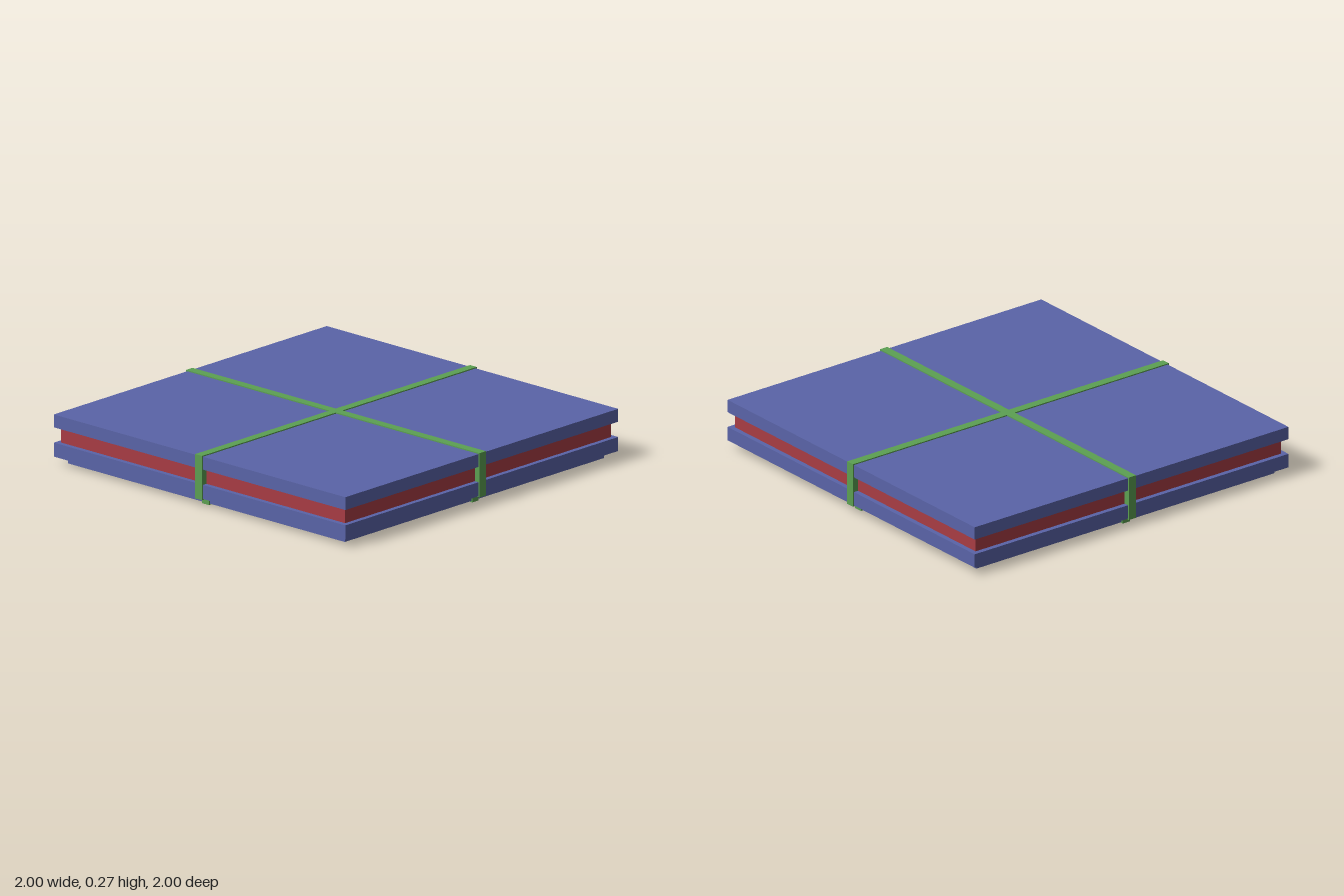
import * as THREE from 'three';

const BLUE = new THREE.MeshStandardMaterial({ color: 0x5a64a8 });
const RED = new THREE.MeshStandardMaterial({ color: 0xa83c44 });
const GREEN = new THREE.MeshStandardMaterial({ color: 0x5ca052 });

// Square slab between two heights
function slab(name, half, y0, y1, material) {
  const mesh = new THREE.Mesh(new THREE.BoxGeometry(2 * half, y1 - y0, 2 * half), material);
  mesh.name = name;
  mesh.position.y = (y0 + y1) / 2;
  return mesh;
}

// Stepped band outline: wide around the slabs, narrower around the base
function bandOutline(wide, narrow, bottom, step, top) {
  return [
    [-narrow, bottom], [narrow, bottom], [narrow, step], [wide, step],
    [wide, top], [-wide, top], [-wide, step], [-narrow, step],
  ].map(([x, y]) => new THREE.Vector2(x, y));
}

function strapGeometry(width) {
  const shape = new THREE.Shape(bandOutline(1, 0.95, 0, 0.037, 0.268));
  // Inner opening lies inside the slabs, so the band fills the groove
  shape.holes.push(new THREE.Path(bandOutline(0.95, 0.93, 0.015, 0.06, 0.25).reverse()));
  return new THREE.ExtrudeGeometry(shape, { depth: width, bevelEnabled: false })
    .translate(0, 0, -width / 2);
}

export function createModel() {
  const model = new THREE.Group();
  model.name = 'strappedSlabs';

  // Stacked slabs
  model.add(
    slab('basePlate', 0.943, 0.006, 0.05, BLUE),
    slab('lowerSlab', 0.993, 0.042, 0.115, BLUE),
    slab('middleCore', 0.967, 0.115, 0.195, RED),
    slab('upperSlab', 0.993, 0.195, 0.262, BLUE),
  );

  // Two crossing straps
  const geometry = strapGeometry(0.046);
  ['sideStrap', 'frontStrap'].forEach((name, i) => {
    const strap = new THREE.Mesh(geometry, GREEN);
    strap.name = name;
    strap.rotation.y = i * Math.PI / 2;
    model.add(strap);
  });

  return model;
}
